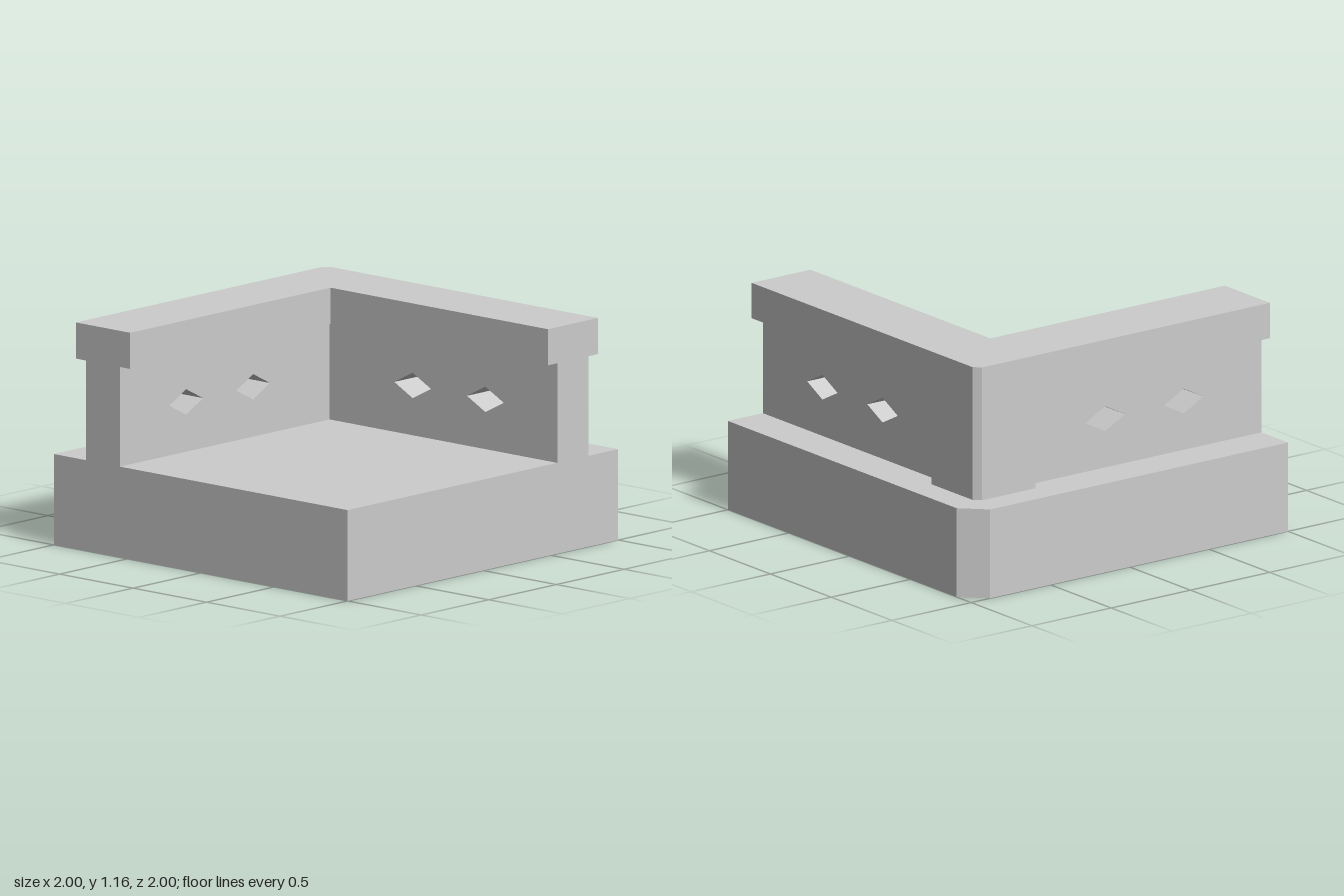
import * as THREE from 'three';

const DECK = 0.465, LEDGE = 0.975, TOP = 1.16;
const HOLES = [0.49, 0.985]; // distance of each slot from the wall's free end
const HOLE_Y = 0.72, HOLE_W = 0.125, HOLE_H = 0.065;

export function createModel() {
  const model = new THREE.Group();
  const material = new THREE.MeshStandardMaterial({ color: 0xcccccc, flatShading: true, side: THREE.DoubleSide });

  function part(name) {
    const group = new THREE.Group();
    group.name = name;
    model.add(group);
    return group;
  }
  function add(group, geometry) {
    const mesh = new THREE.Mesh(geometry, material);
    mesh.name = group.name + 'Face';
    group.add(mesh);
  }
  const toShape = (pts) => new THREE.Shape(pts.map(([x, y]) => new THREE.Vector2(x, y)));

  // Upright face: a shape (distance along a-b, height) standing on the plan line a-b
  function upright(group, a, b, shape) {
    const u = new THREE.Vector3(b[0] - a[0], 0, b[1] - a[1]).normalize();
    const up = new THREE.Vector3(0, 1, 0);
    const m = new THREE.Matrix4().makeBasis(u, up, u.clone().cross(up)).setPosition(a[0], 0, a[1]);
    add(group, new THREE.ShapeGeometry(shape).applyMatrix4(m));
  }

  // Row of upright faces along a plan path; pierced maps a segment to the end its slots count from
  function ribbon(group, path, y0, y1, pierced = {}) {
    for (let i = 0; i < path.length - 1; i++) {
      const a = path[i], b = path[i + 1];
      const len = Math.hypot(b[0] - a[0], b[1] - a[1]);
      const shape = toShape([[0, y0], [len, y0], [len, y1], [0, y1]]);
      if (pierced[i]) {
        for (const d of HOLES) {
          const s = pierced[i] === 'start' ? d : len - d;
          shape.holes.push(toShape([[s - HOLE_W, HOLE_Y], [s, HOLE_Y + HOLE_H], [s + HOLE_W, HOLE_Y], [s, HOLE_Y - HOLE_H]]));
        }
      }
      upright(group, a, b, shape);
    }
  }

  // Level face from plan points, facing up or down
  function level(group, pts, y, down = false) {
    const geo = new THREE.ShapeGeometry(toShape(pts.map(([x, z]) => [x, down ? z : -z])));
    add(group, geo.rotateX(down ? Math.PI / 2 : -Math.PI / 2).translate(0, y, 0));
  }

  // Plan paths (x, z)
  const baseEdge = [[1, 1], [1, -0.88], [0.88, -1], [-1, -1]];
  const webInner = [[-1, -0.55], [0.55, -0.55], [0.55, 1]];
  const webOuter = [[0.78, 1], [0.78, -0.48], [0.85, -0.48], [0.85, -0.815], [0.815, -0.85], [0.48, -0.85], [0.48, -0.78], [-1, -0.78]];
  const capInner = [[-1, -0.48], [0.48, -0.48], [0.48, 1]];
  const capOuter = [[0.85, 1], [0.85, -0.815], [0.815, -0.85], [-1, -0.85]];

  // Open-bottomed base with the deck on both sides of the wall
  const base = part('base');
  ribbon(base, baseEdge, 0, DECK);
  level(base, [[-1, 1], ...webInner], DECK);
  level(base, [...baseEdge, ...webOuter.slice().reverse()], DECK);

  // Recessed wall panels and thick corner post
  const wall = part('wall');
  ribbon(wall, webInner, DECK, LEDGE, { 0: 'start', 1: 'end' });
  ribbon(wall, webOuter, DECK, LEDGE, { 0: 'start', 6: 'end' });

  // Overhanging cap with its undersides
  const cap = part('wallCap');
  ribbon(cap, capInner, LEDGE, TOP);
  ribbon(cap, capOuter, LEDGE, TOP);
  level(cap, [...capInner, ...capOuter], TOP);
  level(cap, [...capInner, ...webInner.slice().reverse()], LEDGE, true);
  level(cap, [[0.78, 1], [0.85, 1], [0.85, -0.48], [0.78, -0.48]], LEDGE, true);
  level(cap, [[-1, -0.78], [-1, -0.85], [0.48, -0.85], [0.48, -0.78]], LEDGE, true);

  // Diamond slots lined through both wall arms
  const slots = part('diamondSlots');
  const lining = () => new THREE.CylinderGeometry(1, 1, 0.23, 4, 1, true)
    .rotateX(Math.PI / 2).scale(-HOLE_W, HOLE_H, 1).toNonIndexed();
  for (const d of HOLES) {
    for (const geo of [
      lining().translate(d - 1, HOLE_Y, -0.665),
      lining().rotateY(Math.PI / 2).translate(0.665, HOLE_Y, 1 - d),
    ]) {
      geo.computeVertexNormals();
      add(slots, geo);
    }
  }

  // Flush cut ends showing the base and wall profile
  const ends = part('cutEnd');
  const profile = [[0, 0], [2, 0], [2, DECK], [1.78, DECK], [1.78, LEDGE], [1.85, LEDGE], [1.85, TOP],
    [1.48, TOP], [1.48, LEDGE], [1.55, LEDGE], [1.55, DECK], [0, DECK]];
  upright(ends, [-1, 1], [1, 1], toShape(profile));
  upright(ends, [-1, -1], [-1, 1], toShape(profile.map(([s, y]) => [2 - s, y])));

  return model;
}
